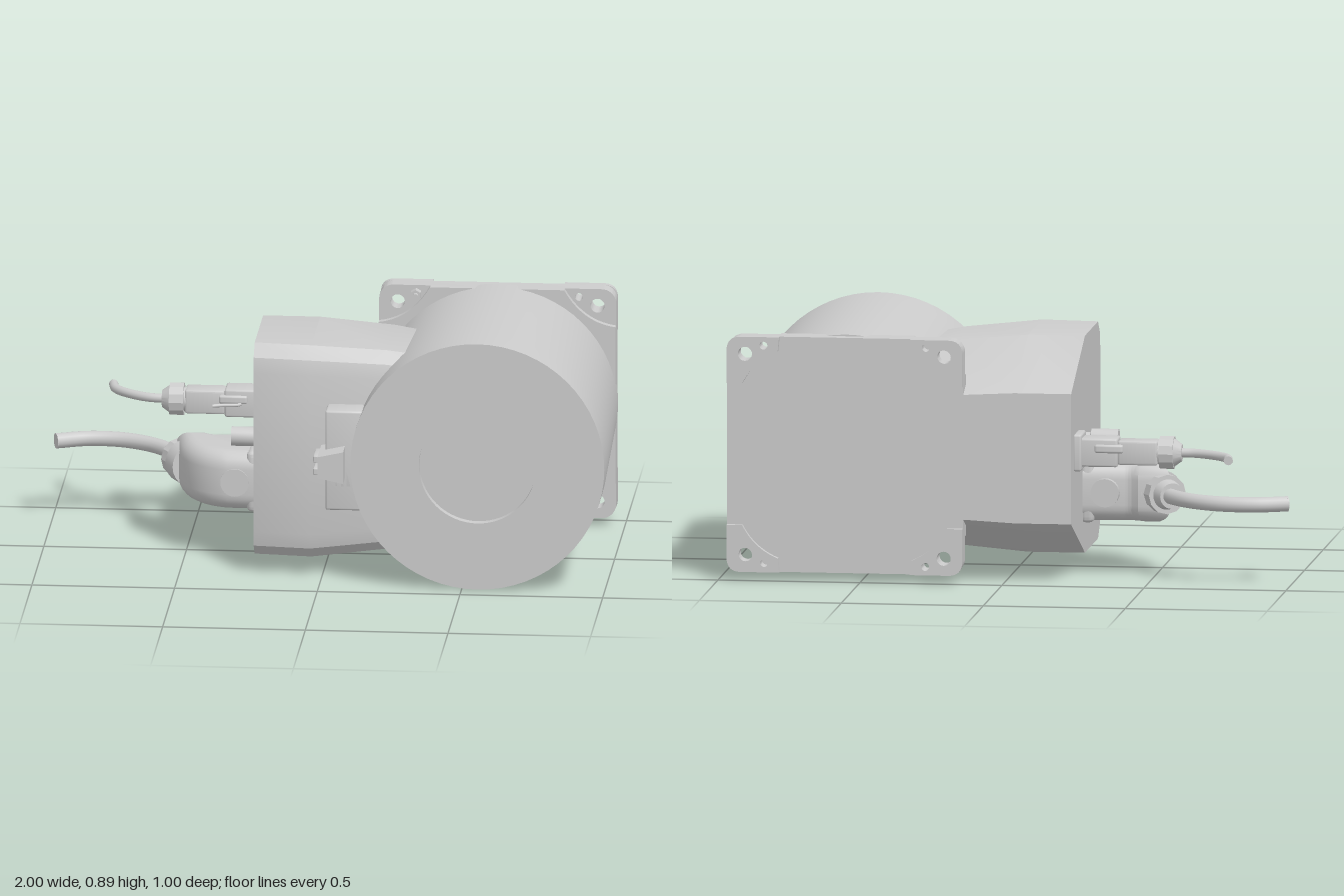
import * as THREE from 'three';
import { toCreasedNormals } from 'three/addons/utils/BufferGeometryUtils.js';
import { RoundedBoxGeometry } from 'three/addons/geometries/RoundedBoxGeometry.js';

const material = new THREE.MeshStandardMaterial({ color: 0xcccccc });
const CX = 0.555, CY = 0.445; // motor axis

export function createModel() {
  const root = new THREE.Group();
  const group = (name) => {
    const g = new THREE.Group();
    g.name = name;
    root.add(g);
    return g;
  };
  const add = (parent, name, geo, x = 0, y = 0, z = 0, crease = 0.5) => {
    const m = new THREE.Mesh(crease ? toCreasedNormals(geo, crease) : geo, material);
    m.name = name;
    m.position.set(x, y, z);
    parent.add(m);
    return m;
  };
  const rod = (r, len, axis = 'x', sides = 20, r2 = r) => {
    const g = new THREE.CylinderGeometry(r2, r, len, sides);
    if (axis === 'x') g.rotateZ(Math.PI / 2); // r2 faces -x
    if (axis === 'z') g.rotateX(Math.PI / 2); // r2 faces +z
    return g;
  };
  const box = (w, h, d, r = 0.008) => new RoundedBoxGeometry(w, h, d, 2, r);
  const cable = (pts, r) => {
    const curve = new THREE.CatmullRomCurve3(pts.map((p) => new THREE.Vector3(...p)));
    return new THREE.TubeGeometry(curve, 40, r, 14);
  };
  const extrude = (shape, depth) =>
    new THREE.ExtrudeGeometry(shape, { depth, bevelEnabled: false, curveSegments: 10 });
  const hole = (x, y, r) => new THREE.Path().absarc(x, y, r, 0, Math.PI * 2, true);

  // Tapered motor body with a shallow round recess in its front
  const profile = [[0, -0.44], [0.421, -0.44], [0.445, 0.3], [0.445, 0.43], [0.205, 0.43], [0.205, 0.4], [0, 0.4]];
  const barrel = new THREE.LatheGeometry(profile.map((p) => new THREE.Vector2(...p)), 64);
  barrel.rotateX(Math.PI / 2);
  add(root, 'motorBody', barrel, CX, CY, 0);

  // Square mounting flange
  const flange = group('mountingFlange');
  flange.position.set(CX, CY, 0);
  const H = 0.415, R = 0.05;
  const plate = new THREE.Shape();
  plate.absarc(H - R, H - R, R, 0, Math.PI / 2);
  plate.absarc(R - H, H - R, R, Math.PI / 2, Math.PI);
  plate.absarc(R - H, R - H, R, Math.PI, Math.PI * 1.5);
  plate.absarc(H - R, R - H, R, Math.PI * 1.5, Math.PI * 2);
  const corners = [[1, 1], [-1, 1], [-1, -1], [1, -1]];
  for (const [sx, sy] of corners)
    plate.holes.push(hole(sx * 0.35, sy * 0.355, 0.025), hole(sx * 0.285, sy * 0.385, 0.014));
  add(flange, 'flangePlate', extrude(plate, 0.06), 0, 0, -0.48);

  // Front layer of the flange, scooped out at the corners
  const layer = new THREE.Shape();
  layer.moveTo(H, -0.285);
  layer.lineTo(H, 0.285).quadraticCurveTo(0.3, 0.3, 0.235, H);
  layer.lineTo(-0.235, H).quadraticCurveTo(-0.3, 0.3, -H, 0.285);
  layer.lineTo(-H, -0.285).quadraticCurveTo(-0.3, -0.3, -0.235, -H);
  layer.lineTo(0.235, -H).quadraticCurveTo(0.3, -0.3, H, -0.285);
  add(flange, 'flangeFront', extrude(layer, 0.025), 0, 0, -0.42);

  // Raised corner feet on the back, each with two holes
  for (const [sx, sy] of corners) {
    const foot = new THREE.Shape();
    foot.moveTo(sx * H, sy * 0.25);
    foot.lineTo(sx * H, sy * (H - R));
    foot.quadraticCurveTo(sx * H, sy * H, sx * (H - R), sy * H);
    foot.lineTo(sx * 0.23, sy * H);
    foot.lineTo(sx * 0.235, sy * 0.365);
    foot.quadraticCurveTo(sx * 0.32, sy * 0.33, sx * 0.36, sy * 0.25);
    foot.holes.push(hole(sx * 0.35, sy * 0.355, 0.025), hole(sx * 0.285, sy * 0.385, 0.014));
    add(flange, 'flangeFoot', extrude(foot, 0.022), 0, 0, -0.5);
  }
  for (const s of [1, -1]) {
    add(flange, 'earthScrew', rod(0.02, 0.03, 'z', 6), s * 0.285, -s * 0.385, -0.405);
    add(flange, 'earthScrewTip', rod(0.01, 0.05, 'z', 12), s * 0.285, -s * 0.385, -0.398);
  }

  // Faceted terminal housing, lofted along x
  const stations = [[-0.24, 0.31, 0.383], [-0.04, 0.332, 0.383], [0.22, 0.29, 0.36], [0.4, 0.26, 0.33]];
  const positions = [], index = [];
  for (const [x, front, half] of stations) {
    const upper = [[front, half * 0.75], [front - 0.012, half * 0.89], [front - 0.06, half],
      [-0.1, half], [-0.47, half * 0.6]];
    const lower = upper.map(([z, y]) => [z, -y]).reverse();
    for (const [z, y] of [...upper, ...lower]) positions.push(x, CY + y, z);
  }
  const N = 10;
  for (let i = 0; i < stations.length - 1; i++)
    for (let j = 0; j < N; j++) {
      const a = i * N + j, b = i * N + (j + 1) % N;
      index.push(a, a + N, b, b, a + N, b + N);
    }
  for (let j = 1; j < N - 1; j++) index.push(0, j, j + 1);
  const loft = new THREE.BufferGeometry();
  loft.setAttribute('position', new THREE.Float32BufferAttribute(positions, 3));
  loft.setIndex(index);
  add(root, 'terminalHousing', loft, 0, 0, 0, 0.4);

  // Small bracket and plug between housing and motor front
  const bracket = group('frontBracket');
  add(bracket, 'bracketPlate', box(0.13, 0.36, 0.1), 0.085, 0.45, 0.36);
  add(bracket, 'bracketBlock', box(0.12, 0.2, 0.09), 0.09, 0.45, 0.365);
  const plugShape = new THREE.Shape();
  [[0, 0.41], [0.09, 0.39], [0.09, 0.505], [0, 0.485]].forEach(([x, y], i) =>
    i ? plugShape.lineTo(x, y) : plugShape.moveTo(x, y));
  add(bracket, 'frontPlug', extrude(plugShape, 0.16), 0, 0, 0.335);
  for (const y of [0.425, 0.47]) add(bracket, 'plugPin', box(0.03, 0.025, 0.1, 0.004), -0.002, y, 0.42);

  // Signal connector with a thin cable
  const signal = group('signalConnector');
  const sy = 0.455, sz = -0.325;
  add(signal, 'socketFlange', box(0.03, 0.13, 0.13), -0.25, sy, sz);
  add(signal, 'socket', box(0.14, 0.1, 0.1), -0.32, sy, sz);
  add(signal, 'latch', box(0.1, 0.03, 0.115), -0.36, sy + 0.015, sz);
  add(signal, 'plugHousing', box(0.14, 0.085, 0.085), -0.46, sy, sz);
  add(signal, 'plugCollar', rod(0.042, 0.03), -0.535, sy, sz);
  add(signal, 'cableNut', rod(0.058, 0.05, 'x', 12), -0.56, sy, sz);
  add(signal, 'cableGland', rod(0.052, 0.03, 'x', 20, 0.03), -0.597, sy, sz);
  add(signal, 'signalCable', cable([[-0.58, sy, sz], [-0.66, sy, -0.335], [-0.74, sy, -0.385],
    [-0.785, sy, -0.44], [-0.797, sy, -0.497]], 0.016), 0, 0, 0, 0);
  add(signal, 'signalCableEnd', rod(0.016, 0.004, 'z'), -0.797, sy, -0.497);
  add(signal, 'latchWire', cable([[-0.43, sy, -0.24], [-0.4, sy, -0.25], [-0.34, sy, -0.262],
    [-0.33, sy, -0.29]], 0.006), 0, 0, 0, 0);

  // Rounded elbow housing for the power cable
  const power = group('powerConnector');
  const py = 0.285;
  const elbow = new THREE.Shape();
  elbow.moveTo(-0.27, 0.08);
  elbow.lineTo(-0.34, 0.08);
  elbow.quadraticCurveTo(-0.44, 0.06, -0.475, -0.06);
  elbow.lineTo(-0.49, -0.12);
  elbow.lineTo(-0.455, -0.12);
  elbow.quadraticCurveTo(-0.42, -0.09, -0.37, -0.1);
  elbow.lineTo(-0.27, -0.11);
  const elbowGeo = new THREE.ExtrudeGeometry(elbow,
    { depth: 0.09, bevelThickness: 0.06, bevelSize: 0.055, bevelSegments: 5, curveSegments: 10 });
  elbowGeo.translate(0, 0, -0.045).rotateX(Math.PI / 2);
  add(power, 'elbowHousing', elbowGeo, 0, py, 0, 0.7);
  add(power, 'elbowBase', box(0.05, 0.22, 0.29, 0.02), -0.255, py, -0.015);
  add(power, 'sideCap', rod(0.05, 0.32, 'z', 24), -0.32, py, -0.02);
  const gland = new THREE.Group();
  gland.name = 'powerGland';
  gland.position.set(-0.5, py, -0.11);
  gland.rotation.set(-Math.PI / 2, 0, Math.PI / 6); // local y points out along the cable
  power.add(gland);
  add(gland, 'glandCollar', rod(0.078, 0.06, 'y', 24), 0, 0, 0);
  add(gland, 'glandNut', rod(0.07, 0.055, 'y', 12), 0, 0.055, 0);
  add(gland, 'glandRing', rod(0.055, 0.05, 'y', 24, 0.045), 0, 0.1, 0);
  add(power, 'powerCable', cable([[-0.53, py, -0.17], [-0.575, py, -0.25], [-0.65, py, -0.33], [-0.76, py, -0.385],
    [-0.88, py, -0.39], [-0.985, py, -0.35]], 0.027), 0, 0, 0, 0);
  add(power, 'powerCableEnd', rod(0.027, 0.004), -0.985, py, -0.35).rotation.y = 0.37;

  // Stub and screw on the end of the housing
  add(root, 'stub', rod(0.034, 0.1), -0.285, 0.44, 0.085);
  add(root, 'endScrew', rod(0.018, 0.03, 'x', 12), -0.245, 0.47, -0.1);
  return root;
}
